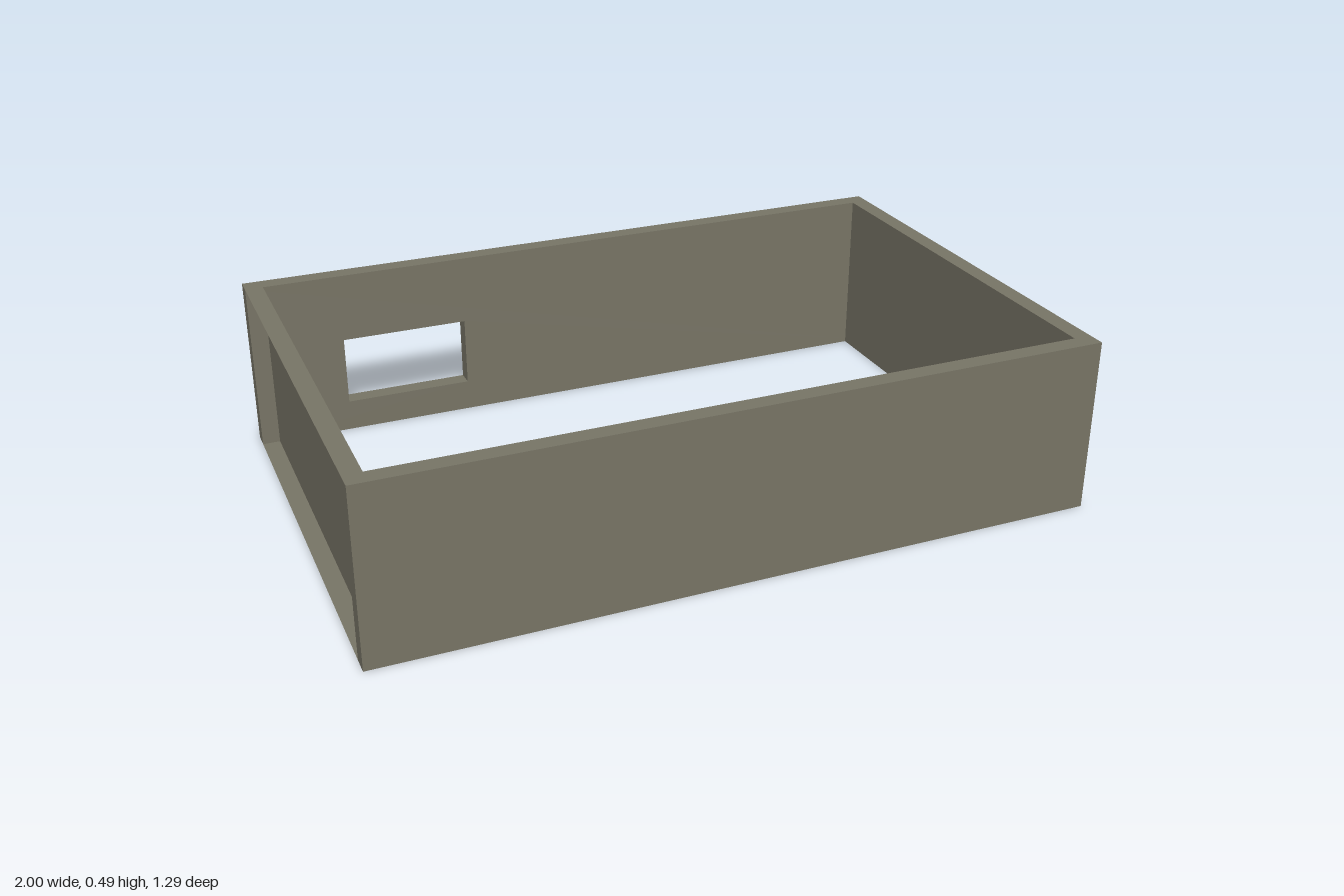
import * as THREE from 'three';

const W = 2, D = 1.29, H = 0.49, T = 0.05;

// Box whose listed sides (0 +x, 1 -x, 2 +y, 3 -y, 4 +z, 5 -z) are left open
function openBox(w, h, d, open) {
  const geo = new THREE.BoxGeometry(w, h, d);
  const index = Array.from(geo.index.array);
  geo.setIndex(index.filter((_, i) => !open.includes(Math.floor(i / 6))));
  geo.clearGroups();
  return geo;
}

export function createModel() {
  const model = new THREE.Group();
  const material = new THREE.MeshStandardMaterial({ color: 0x787566, side: THREE.DoubleSide });
  material.name = 'olive grey';

  const add = (name, geo, x, y, z) => {
    const mesh = new THREE.Mesh(geo, material);
    mesh.name = name;
    mesh.position.set(x, y, z);
    model.add(mesh);
  };

  // Front wall, hollow towards the inside
  add('frontWall', openBox(W, H, T, [5]), 0, H / 2, (D - T) / 2);

  // Side walls, channels open towards the outside
  for (const s of [1, -1]) {
    const open = [s > 0 ? 0 : 1, 4, 5];
    add(s > 0 ? 'leftWall' : 'rightWall', openBox(T, H, D - 2 * T, open), s * (W - T) / 2, H / 2, 0);
  }

  // Solid back wall with a rectangular window
  const wall = new THREE.Shape([[-1, 0], [1, 0], [1, H], [-1, H]].map(p => new THREE.Vector2(...p)));
  const x0 = -0.735, x1 = -0.368, y0 = 0.09, y1 = 0.29;
  wall.holes.push(new THREE.Path([[x0, y0], [x0, y1], [x1, y1], [x1, y0]].map(p => new THREE.Vector2(...p))));
  add('backWall', new THREE.ExtrudeGeometry(wall, { depth: T, bevelEnabled: false }), 0, 0, -D / 2);

  return model;
}
